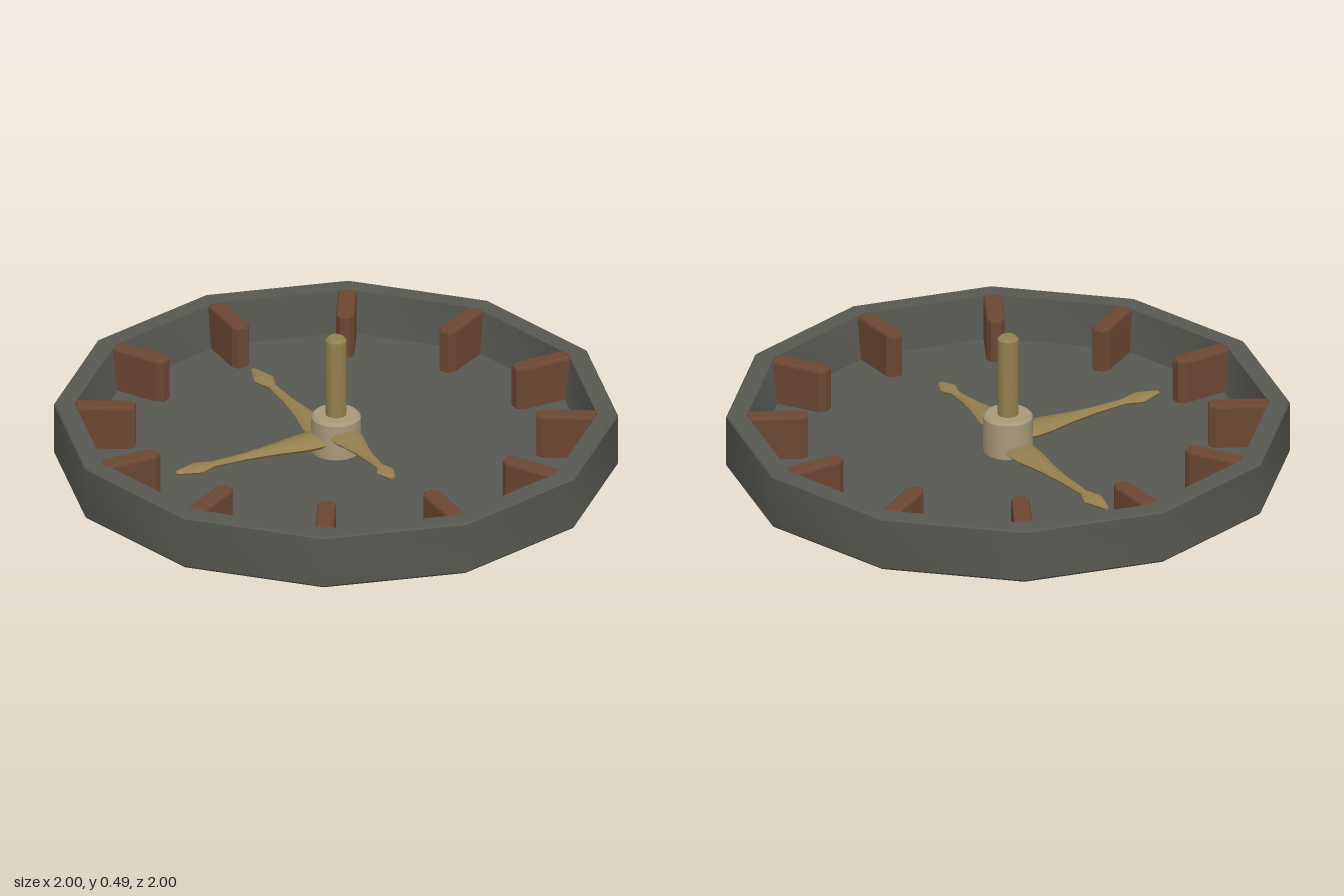
import * as THREE from 'three';
import { toCreasedNormals } from 'three/addons/utils/BufferGeometryUtils.js';

const mat = (name, color) => {
  const m = new THREE.MeshStandardMaterial({ color });
  m.name = name;
  return m;
};

// Revolve [radius, height] pairs, listed from the bottom outwards and up
function turned(profile, sides) {
  const pts = profile.map(([r, y]) => new THREE.Vector2(r, y));
  return toCreasedNormals(new THREE.LatheGeometry(pts, sides), 0.6);
}

// Clock hand along +z: oval sections given as [z, half width, half thickness]
function handGeometry(sections) {
  const sides = 8, pos = [], index = [];
  for (const [z, w, t] of sections) {
    for (let j = 0; j < sides; j++) {
      const a = (j / sides) * Math.PI * 2;
      pos.push(w * Math.cos(a), t * Math.sin(a), z);
    }
  }
  for (let i = 0; i < sections.length - 1; i++) {
    for (let j = 0; j < sides; j++) {
      const a = i * sides + j, b = i * sides + (j + 1) % sides;
      index.push(a, b, a + sides, b, b + sides, a + sides);
    }
  }
  const geo = new THREE.BufferGeometry();
  geo.setAttribute('position', new THREE.Float32BufferAttribute(pos, 3));
  geo.setIndex(index);
  return toCreasedNormals(geo, 0.8);
}

export function createModel() {
  const group = new THREE.Group();
  const stone = mat('dark grey', 0x575851);
  const wood = mat('brown', 0x6b4733);
  const brass = mat('brass', 0x94804f);
  const pale = mat('pale brass', 0xa8997a);
  const add = (name, geo, material) => {
    const mesh = new THREE.Mesh(geo, material);
    mesh.name = name;
    group.add(mesh);
    return mesh;
  };

  // Twelve-sided dish with a raised rim
  add('dish', turned([
    [0, 0], [0.993, 0], [1, 0.008], [1, 0.194], [0.994, 0.2],
    [0.926, 0.2], [0.905, 0.04], [0, 0.04],
  ], 12), stone);

  // Hour markers: upright fins with a narrowed inner end
  const plan = new THREE.Shape([
    [-0.033, -0.915], [-0.02, -0.924], [0.02, -0.924], [0.033, -0.915],
    [0.033, -0.735], [0.018, -0.71], [-0.018, -0.71], [-0.033, -0.735],
  ].map(([x, y]) => new THREE.Vector2(x, y)));
  const fin = new THREE.ExtrudeGeometry(plan, {
    depth: 0.153, bevelEnabled: true, bevelThickness: 0.01,
    bevelSize: 0.01, bevelOffset: -0.01, bevelSegments: 2,
  });
  fin.rotateX(-Math.PI / 2).translate(0, 0.04, 0);
  for (let i = 0; i < 12; i++) {
    add('hourMarker', fin, wood).rotation.y = (i / 12) * Math.PI * 2;
  }

  // Hub and central post
  add('hub', turned([
    [0, 0.03], [0.088, 0.03], [0.088, 0.172], [0.078, 0.182], [0, 0.182],
  ], 24), pale);
  add('post', turned([
    [0, 0.1], [0.038, 0.1], [0.038, 0.475], [0.028, 0.485], [0, 0.485],
  ], 20), brass);

  // Two long hands and a short one, stacked at three heights
  const long = handGeometry([
    [0, 0.05, 0.02], [0.09, 0.06, 0.024], [0.15, 0.055, 0.022], [0.25, 0.034, 0.017],
    [0.36, 0.02, 0.013], [0.49, 0.014, 0.011], [0.55, 0.039, 0.014],
    [0.62, 0.014, 0.01], [0.637, 0.008, 0.006], [0.638, 0, 0],
  ]);
  const short = handGeometry([
    [0, 0.05, 0.02], [0.09, 0.06, 0.024], [0.13, 0.048, 0.02], [0.2, 0.03, 0.016],
    [0.27, 0.019, 0.013], [0.34, 0.014, 0.011], [0.38, 0.034, 0.014],
    [0.42, 0.016, 0.01], [0.434, 0.01, 0.006], [0.435, 0, 0],
  ]);
  for (const [name, geo, y, turn] of [
    ['backHand', long, 0.066, Math.PI],
    ['sideHand', long, 0.095, -Math.PI / 2],
    ['frontHand', short, 0.124, 0],
  ]) {
    const hand = add(name, geo, brass);
    hand.position.y = y;
    hand.rotation.y = turn;
  }
  return group;
}
